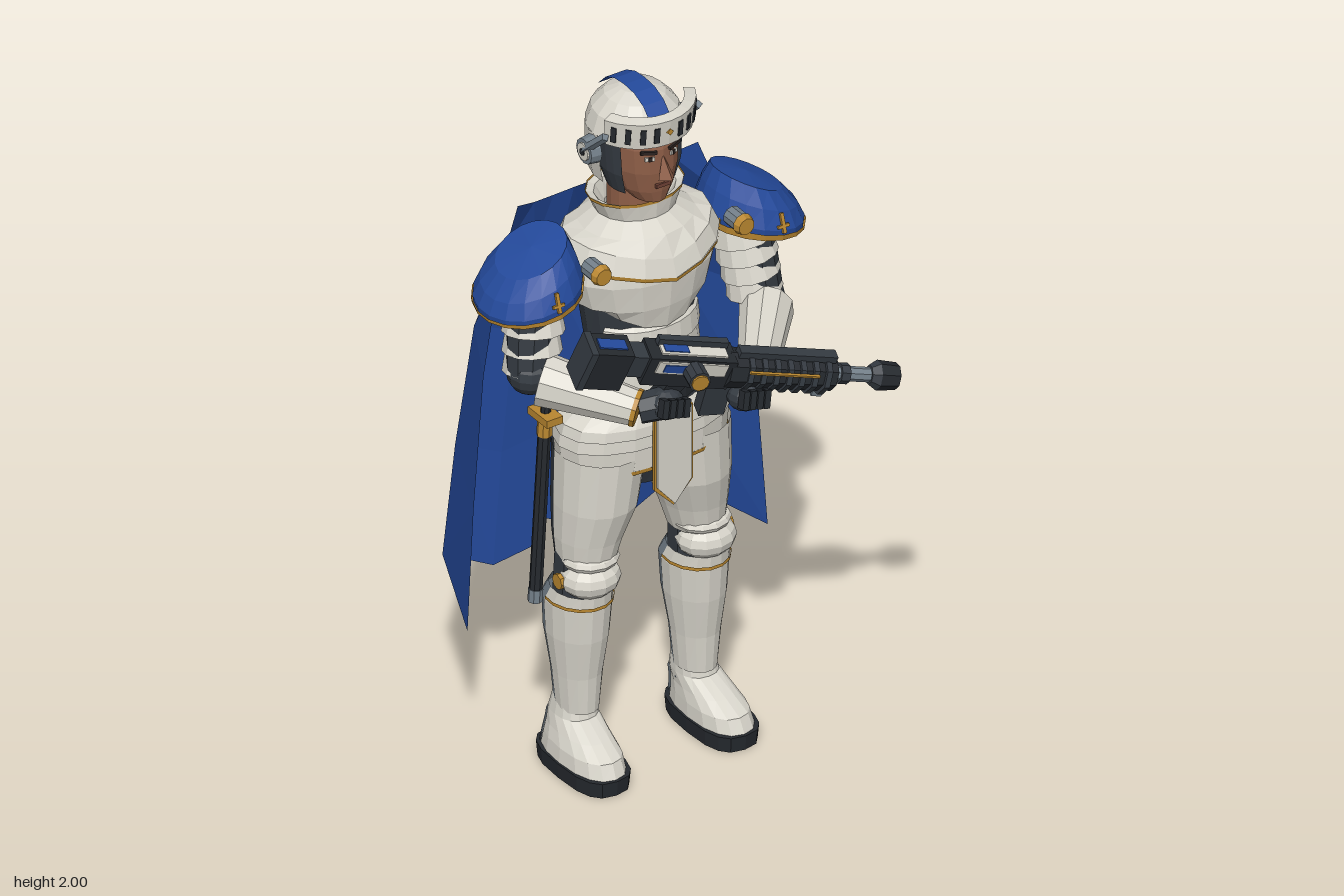
import * as THREE from 'three';

const M = {};
for (const [name, color] of Object.entries({
  armourWhite: 0xd8d5cb, cloakBlue: 0x244a9c, trimGold: 0xb98730, suitDark: 0x343a41, steelGrey: 0x74808a,
  weaponBlack: 0x25292e, skin: 0x8e5e47, lips: 0x6d4034, hair: 0x2b2320,
})) M[name] = new THREE.MeshStandardMaterial({ color, side: THREE.DoubleSide });
const { armourWhite: W, cloakBlue: B, trimGold: G, suitDark: D, steelGrey: S, weaponBlack: K } = M;
const V = (x, y, z) => new THREE.Vector3(x, y, z);
const rad = THREE.MathUtils.degToRad;

// Faceted mesh, added to a parent
function add(parent, name, geo, mat, pos = [0, 0, 0], rot = [0, 0, 0]) {
  const g = geo.index ? geo.toNonIndexed() : geo;
  g.computeVertexNormals();
  const m = new THREE.Mesh(g, mat);
  m.name = name;
  m.position.set(...pos);
  m.rotation.set(...rot);
  parent.add(m);
  return m;
}
// Surface through rows of points
function grid(parent, name, rows, mat) {
  const n = rows[0].length, idx = [];
  for (let j = 0; j < rows.length - 1; j++) for (let i = 0; i < n - 1; i++) {
    const a = j * n + i;
    idx.push(a, a + 1, a + n + 1, a, a + n + 1, a + n);
  }
  const geo = new THREE.BufferGeometry().setFromPoints(rows.flat());
  geo.setIndex(idx);
  return add(parent, name, geo, mat);
}
// Elliptic cross-sections [y, cx, cz, rx, rz], bottom to top; angle 0 faces front
function loft(parent, name, rows, mat, { from = -180, to = 180, seg = 16, p = 1, warp = v => v } = {}) {
  const pw = v => Math.sign(v) * Math.abs(v) ** p;
  return grid(parent, name, rows.map(([y, cx, cz, rx, rz]) => Array.from({ length: seg + 1 }, (_, i) => {
    const a = rad(from + (to - from) * i / seg);
    return warp(V(cx + rx * pw(Math.sin(a)), y, cz + rz * pw(Math.cos(a))), a);
  })), mat);
}
// Round segment between two points
function bar(parent, name, a, b, ra, rb, mat, seg = 10) {
  const s = V(...a), e = V(...b), d = e.clone().sub(s);
  const m = add(parent, name, new THREE.CylinderGeometry(rb, ra, d.length(), seg), mat);
  m.position.copy(s).add(e).multiplyScalar(0.5);
  m.quaternion.setFromUnitVectors(V(0, 1, 0), d.normalize());
  return m;
}
const box = (p, name, size, mat, pos, rot) => add(p, name, new THREE.BoxGeometry(...size), mat, pos, rot);
function ball(p, name, size, mat, pos) {
  const m = add(p, name, new THREE.SphereGeometry(1, 12, 8), mat, pos);
  m.scale.set(...size);
}

function buildHead(g) {
  loft(g, 'neck', [[1.6, 0, -0.03, 0.075, 0.075], [1.76, 0, -0.03, 0.072, 0.075]], M.skin);
  loft(g, 'face', [[1.69, 0, 0.035, 0, 0], [1.695, 0, 0.03, 0.045, 0.06], [1.73, 0, 0.005, 0.075, 0.092], [1.79, 0, -0.008, 0.094, 0.112],
    [1.86, 0, -0.012, 0.098, 0.115], [1.93, 0, -0.02, 0.09, 0.1]], M.skin);
  const nose = add(g, 'nose', new THREE.ConeGeometry(0.024, 0.07, 4), M.skin, [0, 1.812, 0.108], [-0.25, 0, 0]);
  nose.scale.z = 1.3;
  box(g, 'mouth', [0.042, 0.011, 0.008], M.lips, [0, 1.752, 0.1]);
  for (const s of [-1, 1]) {
    box(g, 'eye', [0.026, 0.011, 0.006], W, [s * 0.037, 1.838, 0.095], [0, s * 0.35, 0]);
    box(g, 'pupil', [0.01, 0.012, 0.006], M.hair, [s * 0.036, 1.838, 0.097], [0, s * 0.35, 0]);
    box(g, 'eyebrow', [0.044, 0.009, 0.008], M.hair, [s * 0.04, 1.858, 0.095], [0, s * 0.35, s * 0.1]);
    loft(g, 'chinStrap', [[1.72, 0, -0.005, 0.09, 0.09], [1.78, 0, -0.01, 0.108, 0.112], [1.89, 0, -0.015, 0.115, 0.118]], D,
      { from: s * 58, to: s * 110, seg: 4 });
    const ear = add(g, 'earDisc', new THREE.CylinderGeometry(0.036, 0.04, 0.03, 12), S, [s * 0.143, 1.84, -0.03], [0, 0, -s * Math.PI / 2]);
    add(g, 'earRing', new THREE.CylinderGeometry(0.025, 0.025, 0.006, 12), W, [s * 0.16, 1.84, -0.03], ear.rotation.toArray().slice(0, 3));
    add(g, 'earBolt', new THREE.CylinderGeometry(0.01, 0.01, 0.008, 8), K, [s * 0.162, 1.84, -0.03], [0, 0, Math.PI / 2]);
    bar(g, 'visorArm', [s * 0.145, 1.92, 0.05], [s * 0.157, 1.845, -0.03], 0.012, 0.012, S, 4);
  }
  // Helmet shell, open at the face
  loft(g, 'helmetBack', [[1.745, 0, -0.03, 0.118, 0.126], [1.8, 0, -0.03, 0.129, 0.132], [1.885, 0, -0.03, 0.13, 0.132]], W, { from: 78, to: 282, seg: 10 });
  const dome = [[1.885, 0.13, 0.132], [1.935, 0.114, 0.117], [1.972, 0.08, 0.083], [1.99, 0.042, 0.043], [1.994, 0, 0]];
  loft(g, 'helmetDome', dome.map(([y, rx, rz]) => [y, 0, -0.03, rx, rz]), W);
  const arc = [...dome.slice(1).map(([y, , r]) => [y, r]), ...dome.slice(1, 4).reverse().map(([y, , r]) => [y, -r])];
  grid(g, 'helmetStripe', arc.map(([y, z]) => [-0.032, 0.032].map(x => V(x, y + 0.006, -0.03 + z * 1.05))), B);
  // Raised slotted visor
  loft(g, 'visor', [[1.888, 0, -0.02, 0.125, 0.13], [1.888, 0, -0.02, 0.146, 0.148], [1.965, 0, -0.02, 0.153, 0.157], [1.972, 0, -0.02, 0.12, 0.13]], W,
    { from: -68, to: 68, seg: 10 });
  for (const d of [-58, -43, -28, -14, 14, 28, 43, 58]) {
    const a = rad(d);
    box(g, 'visorSlot', [0.015, 0.046, 0.006], K, [0.15 * Math.sin(a), 1.927, -0.02 + 0.153 * Math.cos(a)], [0.1, a, 0]);
  }
  box(g, 'visorStud', [0.014, 0.014, 0.008], G, [0, 1.93, 0.133], [0, 0, Math.PI / 4]);
}

function buildTorso(g) {
  loft(g, 'undersuit', [[0.84, 0, -0.01, 0.1, 0.09], [0.93, 0, -0.01, 0.2, 0.12], [1.05, 0, -0.012, 0.175, 0.12], [1.15, 0, -0.012, 0.165, 0.117],
    [1.27, 0, -0.015, 0.152, 0.117], [1.42, 0, -0.015, 0.175, 0.13]], D);
  loft(g, 'breastplate', [[1.33, 0, -0.015, 0.165, 0.135], [1.4, 0, -0.015, 0.195, 0.15], [1.48, 0, -0.015, 0.218, 0.158], [1.56, 0, -0.015, 0.2, 0.15]], W,
    { warp: (v, a) => { if (v.y < 1.4) v.y += 0.07 * Math.sin(a) ** 2; return v; } });
  for (let i = 0; i < 3; i++) {
    const y = 1.15 + i * 0.06;
    loft(g, 'bellyPlate', [[y, 0, -0.01, 0.168, 0.133], [y + 0.055, 0, -0.01, 0.163, 0.128], [y + 0.07, 0, -0.01, 0.148, 0.115]], W, { from: -65, to: 65, seg: 8 });
  }
  loft(g, 'backPlate', [[1.12, 0, -0.02, 0.14, 0.128], [1.45, 0, -0.02, 0.17, 0.14]], W, { from: 145, to: 215, seg: 4 });
  // Gorget and flared collar, with higher edges at the shoulders
  const lift = (v, a) => { if (v.y < 1.57) v.y += 0.045 * Math.abs(Math.sin(a)); return v; };
  loft(g, 'gorget', [[1.5, 0, -0.02, 0.228, 0.185], [1.55, 0, -0.02, 0.205, 0.168], [1.605, 0, -0.025, 0.16, 0.14], [1.635, 0, -0.03, 0.112, 0.1],
    [1.688, 0, -0.03, 0.137, 0.105], [1.68, 0, -0.03, 0.115, 0.09], [1.63, 0, -0.03, 0.08, 0.08]], W, { warp: lift });
  loft(g, 'gorgetTrim', [[1.49, 0, -0.02, 0.229, 0.186], [1.502, 0, -0.02, 0.231, 0.188]], G, { warp: lift });
  loft(g, 'collarTrim', [[1.682, 0, -0.03, 0.137, 0.106], [1.692, 0, -0.03, 0.139, 0.107]], G);
  loft(g, 'belt', [[1.08, 0, -0.012, 0.178, 0.128], [1.155, 0, -0.012, 0.176, 0.128]], K);
  box(g, 'buckle', [0.06, 0.05, 0.014], G, [0, 1.12, 0.118]);
  loft(g, 'hipPlate', [[0.925, 0, 0, 0.247, 0.138], [1, 0, 0, 0.253, 0.14], [1.05, 0, 0, 0.24, 0.135], [1.085, 0, -0.005, 0.19, 0.125]], W, { p: 0.9 });
  loft(g, 'hipBand', [[0.99, 0, 0, 0.257, 0.144], [1.025, 0, 0, 0.252, 0.142]], W, { p: 0.9 });
  loft(g, 'hipTrim', [[0.915, 0, 0, 0.248, 0.139], [0.927, 0, 0, 0.25, 0.141]], G, { p: 0.9 });
  // Pointed cloth at the front
  for (const [name, k, z, mat] of [['tabardTrim', 0.007, 0.142, G], ['tabard', 0, 0.149, W]]) {
    const w = 0.053 + k, s = new THREE.Shape([[-w, 1.09], [-w, 0.87 - k], [0, 0.807 - k], [w, 0.87 - k], [w, 1.09]].map(q => new THREE.Vector2(...q)));
    add(g, name, new THREE.ExtrudeGeometry(s, { depth: 0.009, bevelEnabled: false }), mat, [0, 0, z]);
  }
}

function buildLeg(g, s) {
  const side = new THREE.Group();
  side.name = s > 0 ? 'leftLeg' : 'rightLeg';
  g.add(side);
  const x = rows => rows.map(([y, cx, ...r]) => [y, cx * s, ...r]);
  const split = (name, rows, back) => {
    loft(side, name + 'Plate', x(rows), W, { from: -105, to: 105, seg: 9 });
    loft(side, name + 'Back', x(rows), back, { from: 105, to: 255, seg: 6 });
  };
  split('thigh', [[0.62, 0.172, -0.005, 0.075, 0.085], [0.7, 0.163, -0.005, 0.092, 0.1], [0.8, 0.145, 0, 0.112, 0.122], [0.96, 0.13, 0, 0.122, 0.132]], D);
  split('shin', [[0.17, 0.184, -0.025, 0.055, 0.068], [0.28, 0.184, -0.025, 0.066, 0.075], [0.4, 0.183, -0.028, 0.082, 0.097], [0.5, 0.182, -0.026, 0.088, 0.103], [0.545, 0.182, -0.01, 0.08, 0.09]], S);
  loft(side, 'shinTrim', x([[0.505, 0.182, -0.02, 0.09, 0.102], [0.515, 0.182, -0.02, 0.09, 0.102]]), G, { from: -105, to: 105, seg: 9 });
  bar(side, 'kneeJoint', [s * 0.18, 0.52, -0.015], [s * 0.176, 0.66, -0.01], 0.075, 0.075, D);
  ball(side, 'kneeCap', [0.084, 0.055, 0.075], W, [s * 0.18, 0.585, 0.032]);
  ball(side, 'kneeCuff', [0.08, 0.03, 0.075], W, [s * 0.174, 0.638, 0.022]);
  add(side, 'kneeBolt', new THREE.CylinderGeometry(0.022, 0.022, 0.012, 8), G, [s * 0.263, 0.585, 0.01], [0, 0, Math.PI / 2]);
  // Boot
  loft(side, 'sole', x([[0, 0.2, 0.03, 0, 0], [0, 0.2, 0.03, 0.078, 0.155], [0.045, 0.2, 0.03, 0.081, 0.16], [0.05, 0.2, 0.03, 0, 0]]), K, { p: 0.7 });
  loft(side, 'boot', x([[0.045, 0.2, 0.03, 0.076, 0.152], [0.085, 0.198, 0.025, 0.072, 0.138], [0.115, 0.194, 0.0, 0.064, 0.108], [0.15, 0.188, -0.035, 0.058, 0.07], [0.2, 0.184, -0.035, 0.052, 0.058]]), W, { p: 0.85 });
  loft(side, 'heelGuard', x([[0.045, 0.2, 0.03, 0.079, 0.156], [0.11, 0.194, 0.0, 0.069, 0.114], [0.14, 0.189, -0.028, 0.063, 0.082]]), S, { from: 135, to: 225, seg: 6, p: 0.85 });
  loft(side, 'ankle', x([[0.13, 0.185, -0.035, 0.054, 0.06], [0.21, 0.184, -0.03, 0.05, 0.06]]), D);
}

function buildArm(g, s) {
  const arm = new THREE.Group();
  arm.name = s > 0 ? 'leftArm' : 'rightArm';
  g.add(arm);
  // Domed shoulder plate, its inner side raised
  const warp = v => { v.y += (0.2 + 2.4 * (v.y - 1.485)) * s * (s * 0.345 - v.x); return v; };
  const pad = (name, rows, mat) => loft(arm, name, rows.map(([y, r, d = 0]) => [y, s * (0.345 - d), -0.012, r * 0.95, r * 1.04]), mat, { warp, seg: 18 });
  pad('shoulderPlate', [[1.485, 0.145], [1.51, 0.147], [1.56, 0.128], [1.605, 0.096, 0.01], [1.615, 0, 0.01]], B);
  pad('shoulderTrim', [[1.482, 0.142], [1.482, 0.149], [1.499, 0.151]], G);
  box(arm, 'shoulderMark', [0.01, 0.055, 0.008], G, [s * 0.35, 1.53, 0.137], [-0.3, 0, 0]);
  box(arm, 'shoulderMarkBar', [0.034, 0.008, 0.009], G, [s * 0.35, 1.522, 0.139], [-0.3, 0, 0]);
  bar(arm, 'clasp', [s * 0.222, 1.575, 0.09], [s * 0.222, 1.575, 0.145], 0.027, 0.027, S);
  bar(arm, 'claspCap', [s * 0.222, 1.575, 0.14], [s * 0.222, 1.575, 0.16], 0.03, 0.024, G);
  // Overlapping bands over the upper arm
  const ys = s > 0 ? 1.25 : 1.27;
  bar(arm, 'upperArmSuit', [s * 0.32, 1.55, -0.02], [s * 0.36, ys, 0.015], 0.075, 0.062, D);
  for (let i = 0; i < 4; i++) {
    const y = 1.49 - i * 0.055, x = s * (0.325 + i * 0.008), z = -0.022 + i * 0.006;
    bar(arm, 'armBand', [x, y - 0.065, z + 0.012], [x - s * 0.008, y, z], 0.088 - i * 0.004, 0.074 - i * 0.003, W, 12);
  }
  ball(arm, 'elbow', [0.062, 0.062, 0.065], D, [s * 0.36, ys - 0.005, 0.02]);
  const wrist = s > 0 ? [0.17, 1.19, 0.28] : [-0.18, 1.205, 0.235];
  const start = s > 0 ? [0.35, 1.235, 0.06] : [-0.345, 1.255, 0.055];
  bar(arm, 'forearm', start, wrist, 0.073, 0.05, W);
  const end = V(...start).lerp(V(...wrist), 1.05).toArray();
  bar(arm, 'cuffTrim', wrist, end, 0.052, 0.051, G);
  const hand = s > 0 ? [0.1, 1.2, 0.335] : [-0.11, 1.215, 0.275];
  bar(arm, 'glove', end, hand, 0.042, 0.045, D, 8);
  ball(arm, 'fist', [0.052, 0.045, 0.05], D, hand);
  for (let i = 0; i < 4; i++) box(arm, 'finger', [0.018, 0.05, 0.026], K, [hand[0] - 0.033 + i * 0.022, hand[1] + 0.015 - i * 0.006, hand[2] + 0.043], [-0.2, 0, -0.25]);
}

function buildCape(g) {
  // Hem outline; the folds fade towards the shoulders
  const hem = [[-0.467, -0.11], [-0.347, -0.405], [-0.232, -0.34], [-0.12, -0.31], [0, -0.458], [0.118, -0.272], [0.238, -0.37], [0.353, -0.385], [0.468, -0.11]];
  const rows = [[1.61, 0.6, 0], [1.45, 0.74, 0.28], [1.18, 0.87, 0.64], [0.8, 0.95, 0.85], [0.45, 1, 1]];
  grid(g, 'cape', rows.map(([y, k, t]) => hem.map(([x, z], i) => {
    const edge = Math.abs(i - 4) / 4, top = -0.205 + 0.05 * edge ** 3;
    return V(x * k, y + (1 - t) * 0.04 * edge ** 4 + t * 0.03 * (i % 2 ? 1 : -0.3), top + (z - top) * t);
  })), B);
}

function buildRifle(root) {
  const g = new THREE.Group();
  g.name = 'rifle';
  const X = V(0.85, -0.25, 0.19).normalize(), Z = X.clone().cross(V(0.25, 0.9, 0.32)).normalize();
  g.applyMatrix4(new THREE.Matrix4().makeBasis(X, Z.clone().cross(X), Z));
  g.position.set(0.065, 1.28, 0.325);
  root.add(g);
  const tube = (name, a, b, ra, rb, mat, y = 0) => bar(g, name, [a, y, 0], [b, y, 0], ra, rb, mat, 8);
  box(g, 'stock', [0.12, 0.125, 0.08], K, [-0.39, -0.005, 0]);
  box(g, 'stockPad', [0.02, 0.13, 0.088], D, [-0.445, -0.005, 0]);
  box(g, 'stockNeck', [0.1, 0.07, 0.06], D, [-0.3, 0.01, 0]);
  box(g, 'stockInlay', [0.08, 0.008, 0.035], B, [-0.385, 0.058, 0]);
  box(g, 'receiver', [0.25, 0.095, 0.078], K, [-0.155, 0.005, 0]);
  for (const z of [-0.04, 0.04]) {
    box(g, 'receiverPlate', [0.2, 0.04, 0.008], W, [-0.155, 0.025, z]);
    box(g, 'receiverInlay', [0.07, 0.025, 0.009], B, [-0.2, 0.025, z * 1.05]);
  }
  box(g, 'receiverTop', [0.19, 0.008, 0.045], W, [-0.15, 0.054, 0]);
  box(g, 'receiverTopInlay', [0.07, 0.009, 0.03], B, [-0.2, 0.056, 0]);
  box(g, 'sightRail', [0.2, 0.022, 0.02], D, [-0.15, 0.065, -0.02]);
  bar(g, 'sideLamp', [-0.15, 0.02, 0.03], [-0.15, 0.03, 0.095], 0.03, 0.03, D);
  bar(g, 'lampRing', [-0.15, 0.029, 0.09], [-0.15, 0.03, 0.1], 0.024, 0.024, G);
  tube('handguard', -0.04, 0.27, 0.054, 0.047, K);
  for (let i = 0; i < 7; i++) tube('handguardRib', 0.01 + i * 0.037, 0.026 + i * 0.037, 0.058, 0.057, D);
  box(g, 'handguardLine', [0.2, 0.006, 0.008], G, [0.11, 0.03, 0.049]);
  box(g, 'handguardRail', [0.28, 0.02, 0.03], D, [0.12, 0.058, 0]);
  tube('barrel', 0.26, 0.4, 0.02, 0.02, S);
  tube('barrelCollar', 0.29, 0.315, 0.028, 0.028, D);
  tube('muzzle', 0.378, 0.4, 0.026, 0.04, D);
  tube('muzzleBody', 0.4, 0.455, 0.04, 0.036, K);
  box(g, 'grip', [0.05, 0.12, 0.04], K, [-0.17, -0.085, 0], [0, 0, -0.3]);
  box(g, 'magazine', [0.07, 0.13, 0.042], D, [-0.035, -0.09, 0], [0, 0, 0.15]);
  box(g, 'foreStud', [0.03, 0.04, 0.025], S, [0.25, -0.055, 0]);
}

function buildSword(root) {
  const g = new THREE.Group();
  g.name = 'sword';
  root.add(g);
  const at = t => [-0.292 - 0.043 * t, 1.27 - 0.74 * t, -0.02];
  const part = (name, a, b, r, mat) => bar(g, name, at(a), at(b), r, r, mat, 8);
  part('pommel', 0, 0.03, 0.02, G);
  part('hilt', 0.03, 0.24, 0.014, K);
  part('hiltRing', 0.12, 0.135, 0.018, G);
  part('scabbard', 0.27, 0.96, 0.018, K);
  part('scabbardMouth', 0.27, 0.33, 0.021, G);
  part('scabbardTip', 0.95, 1, 0.02, S);
  box(g, 'guard', [0.05, 0.022, 0.09], G, at(0.25));
}

export function createModel() {
  const root = new THREE.Group();
  root.name = 'armouredSoldier';
  const body = new THREE.Group();
  body.name = 'body';
  body.position.x = -0.018;
  root.add(body);
  buildHead(body);
  buildTorso(body);
  for (const s of [-1, 1]) {
    buildLeg(body, s);
    buildArm(body, s);
  }
  buildCape(body);
  buildRifle(root);
  buildSword(root);
  return root;
}
